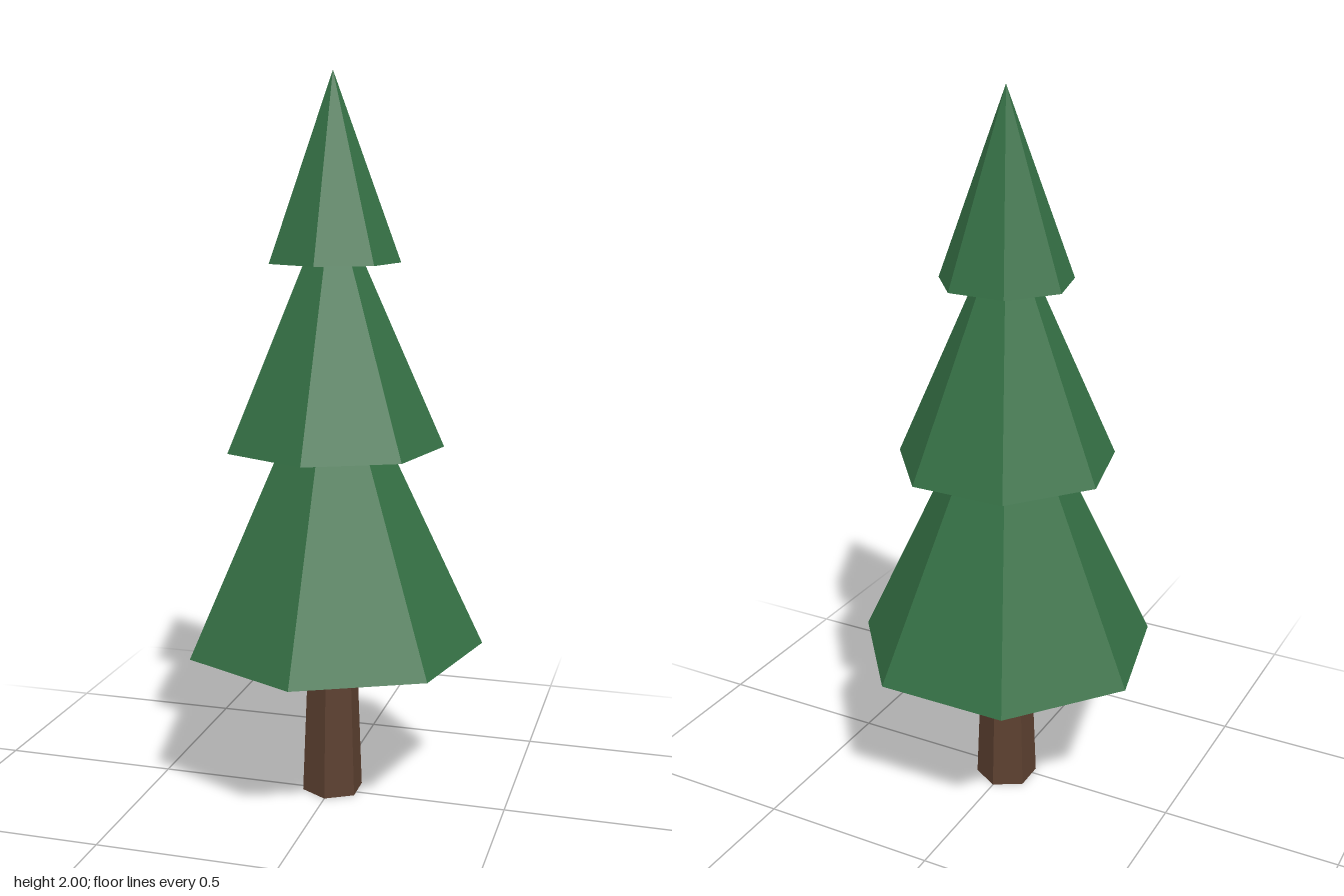
import * as THREE from 'three';

export function createModel() {
  const tree = new THREE.Group();
  tree.name = 'pineTree';
  const axisZ = -0.02;

  const leaves = new THREE.MeshStandardMaterial({ color: 0x35704a, flatShading: true });
  leaves.color.set(0x357045);
  const bark = new THREE.MeshStandardMaterial({ color: 0x5c4030, flatShading: true });

  // Six-sided tapered trunk, reaching slightly into the lowest tier
  const trunk = new THREE.Mesh(new THREE.CylinderGeometry(0.067, 0.087, 0.5, 6), bark);
  trunk.name = 'trunk';
  trunk.position.set(0, 0.25, axisZ);
  tree.add(trunk);

  // Seven-sided foliage cones: [name, radius, base height, tip height]
  const tiers = [
    ['lowerFoliage', 0.42, 0.44, 1.33],
    ['middleFoliage', 0.305, 1.0, 1.69],
    ['upperFoliage', 0.183, 1.5, 2.0],
  ];
  for (const [name, radius, base, tip] of tiers) {
    const cone = new THREE.Mesh(new THREE.ConeGeometry(radius, tip - base, 7), leaves);
    cone.name = name;
    cone.position.set(0, (base + tip) / 2, axisZ);
    tree.add(cone);
  }

  return tree;
}
